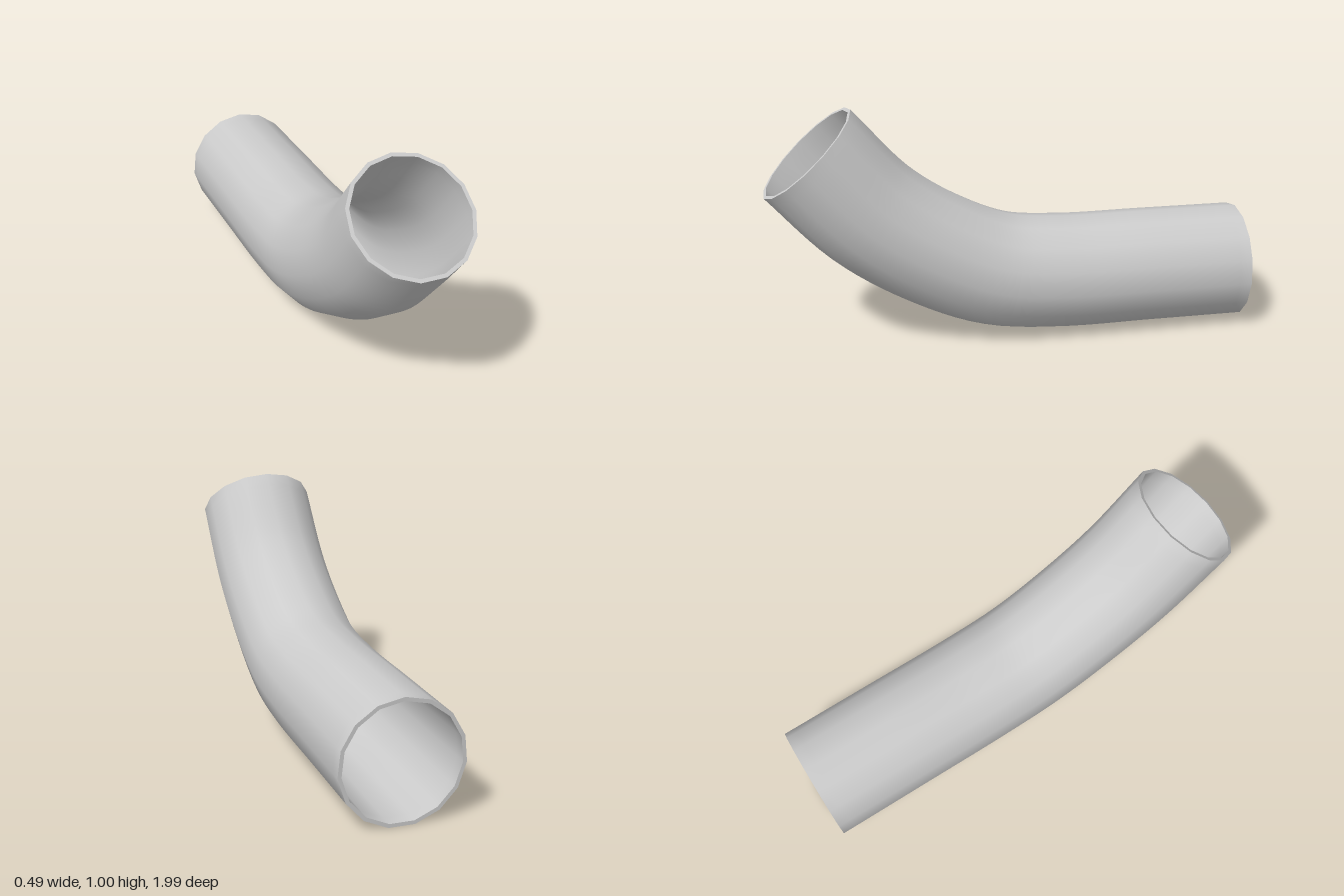
import * as THREE from 'three';

const SIDES = 15;
const STEPS = 40;
const OUTER = 0.245;
const INNER = 0.23;

// Centre line of the pipe: straight at the back, bending upwards to the front
const path = new THREE.CatmullRomCurve3([
  [-0.995, 0.243], [-0.6, 0.247], [-0.2, 0.252], [0.061, 0.284],
  [0.319, 0.396], [0.574, 0.568], [0.82, 0.836],
].map(([z, y]) => new THREE.Vector3(0, y, z)));

// One ring of points square to the path, with a corner at the top
function ring(t, radius) {
  const centre = path.getPointAt(t);
  const tangent = path.getTangentAt(t);
  const up = new THREE.Vector3(0, tangent.z, -tangent.y);
  return Array.from({ length: SIDES }, (_, j) => {
    const a = (j / SIDES) * Math.PI * 2;
    const p = centre.clone().addScaledVector(up, radius * Math.cos(a));
    p.x = radius * Math.sin(a);
    return p;
  });
}

// Closed skin through a row of rings
function skin(rings, name, material) {
  const geometry = new THREE.BufferGeometry().setFromPoints(rings.flat());
  const index = [];
  for (let i = 0; i < rings.length - 1; i++) {
    for (let j = 0; j < SIDES; j++) {
      const k = (j + 1) % SIDES;
      const a = i * SIDES + j, b = i * SIDES + k;
      index.push(a, a + SIDES, b, b, a + SIDES, b + SIDES);
    }
  }
  geometry.setIndex(index);
  geometry.computeVertexNormals();
  const mesh = new THREE.Mesh(geometry, material);
  mesh.name = name;
  return mesh;
}

export function createModel() {
  const material = new THREE.MeshStandardMaterial({ color: 0xcccccc });
  const stations = Array.from({ length: STEPS + 1 }, (_, i) => i / STEPS);
  const outer = stations.map((t) => ring(t, OUTER));
  const inner = stations.map((t) => ring(t, INNER)).reverse();

  const pipe = new THREE.Group();
  pipe.name = 'bentPipe';
  pipe.add(
    skin(outer, 'outerWall', material),
    skin(inner, 'innerWall', material),
    // Flat end faces joining the two walls
    skin([outer[STEPS], inner[0]], 'frontRim', material),
    skin([inner[STEPS], outer[0]], 'backRim', material),
  );
  return pipe;
}
